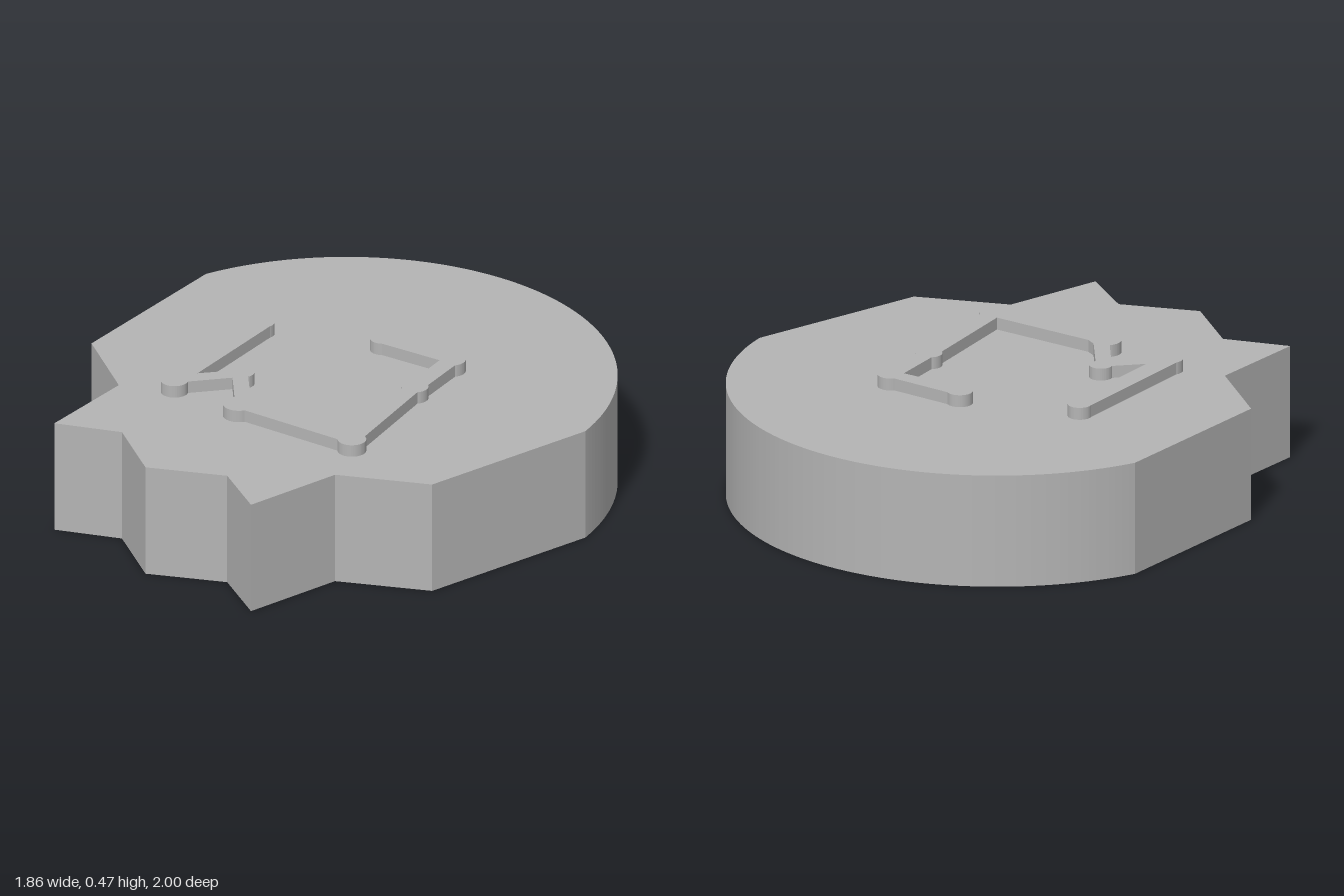
import * as THREE from 'three';

const BASE_TOP = 0.42;
const RELIEF_TOP = 0.465;

// Adds a clockwise arc (seen from above) about c, from point p to point q; points are [x, z]
function arcAround(shape, p, c, q) {
  const angle = (a) => Math.atan2(c[1] - a[1], a[0] - c[0]);
  const radius = Math.hypot(p[0] - c[0], p[1] - c[1]);
  shape.absarc(c[0], -c[1], radius, angle(p), angle(q), true);
}

// Extrudes a plan shape upward from y = bottom to y = top
function slab(name, shape, bottom, top, curveSegments, material) {
  const geometry = new THREE.ExtrudeGeometry(shape, {
    depth: top - bottom, bevelEnabled: false, curveSegments,
  });
  geometry.rotateX(-Math.PI / 2).translate(0, bottom, 0);
  const mesh = new THREE.Mesh(geometry, material);
  mesh.name = name;
  return mesh;
}

// Round back, tapering sides and a zigzag front edge
function baseShape() {
  const half = [[0.93, -0.29], [0.835, 0.4], [0.53, 0.58], [0.482, 0.963], [0.258, 0.85]];
  const shape = new THREE.Shape();
  shape.moveTo(-0.93, 0.29);
  arcAround(shape, [-0.93, -0.29], [0, -0.036], [0.93, -0.29]);
  for (const [x, z] of half.slice(1)) shape.lineTo(x, -z);
  shape.lineTo(0, -1);
  for (const [x, z] of half.slice(1).reverse()) shape.lineTo(-x, -z);
  shape.closePath();
  return shape;
}

// Bent line with round knobs: each step is a corner [p] or a knob [from, centre, to]
function reliefShape() {
  const steps = [
    [[0.205, -0.347], [0.247, -0.32], [0.285, -0.295]],
    [[0.33, -0.11], [0.305, -0.07], [0.345, -0.04]],
    [[0.455, 0.347], [0.437, 0.395], [0.4, 0.432]],
    [[0, 0.488], [-0.052, 0.463], [-0.1, 0.435]],
    [[-0.215, 0.325]],
    [[-0.308, 0.457], [-0.35, 0.482], [-0.392, 0.47]],
    [[-0.488, -0.06], [-0.449, -0.077], [-0.41, -0.07]],
    [[-0.33, 0.385]],
    [[-0.258, 0.285], [-0.22, 0.267], [-0.182, 0.28]],
    [[-0.05, 0.405]], [[-0.01, 0.42]], [[0.385, 0.36]],
    [[0.28, -0.03], [0.3, -0.07], [0.262, -0.1]],
    [[0.22, -0.285]],
    [[-0.02, -0.242], [-0.05, -0.277], [-0.03, -0.315]],
  ];
  const shape = new THREE.Shape();
  shape.moveTo(-0.03, 0.315);
  for (const [p, c, q] of steps) {
    if (c) arcAround(shape, p, c, q);
    else shape.lineTo(p[0], -p[1]);
  }
  shape.closePath();
  return shape;
}

export function createModel() {
  const grey = new THREE.MeshStandardMaterial({ color: 0xb4b4b4 });
  grey.name = 'grey';

  const model = new THREE.Group();
  model.name = 'emblemBlock';
  model.add(
    slab('base', baseShape(), 0, BASE_TOP, 48, grey),
    slab('raisedLine', reliefShape(), BASE_TOP, RELIEF_TOP, 12, grey),
  );
  return model;
}
